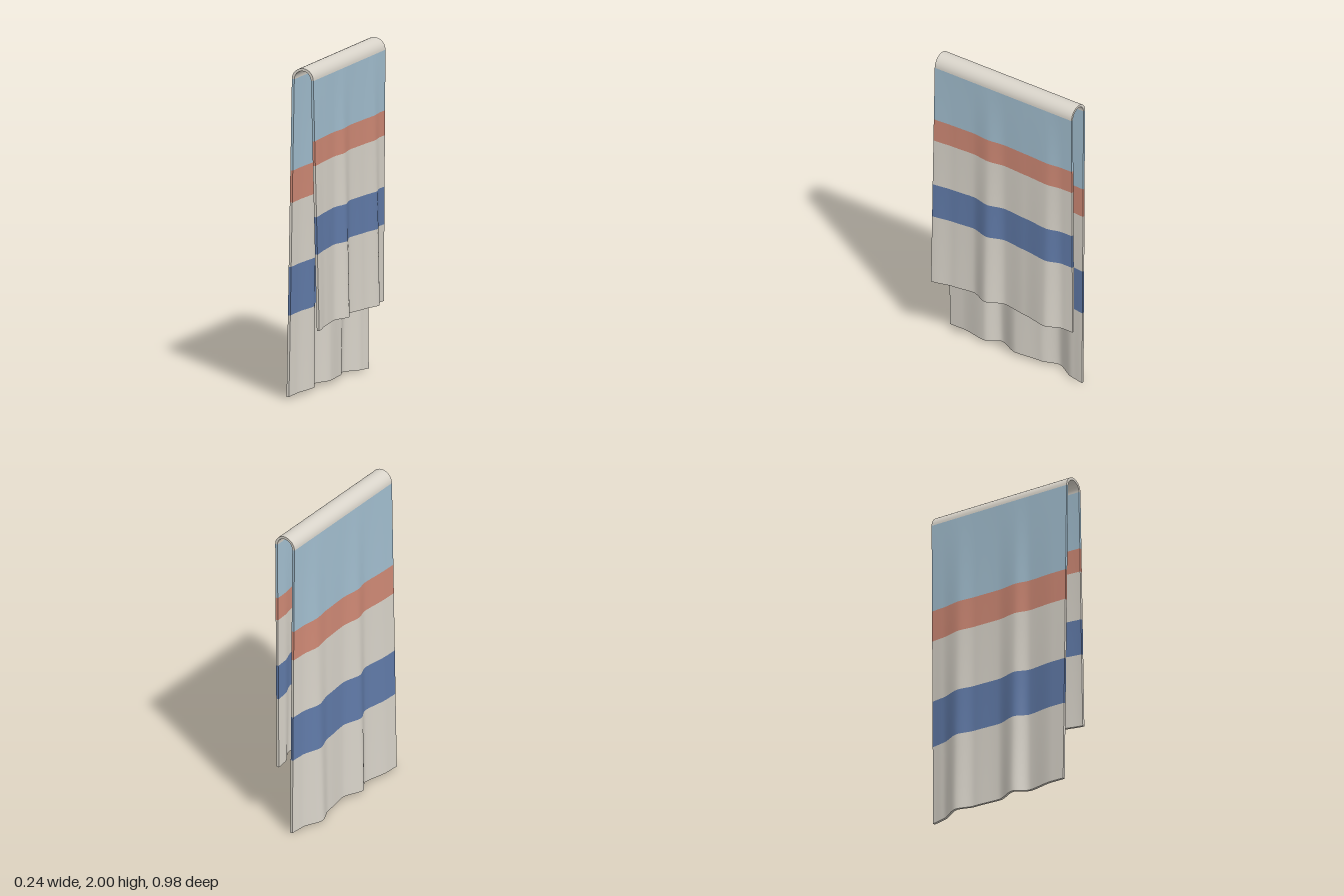
import * as THREE from 'three';
import { toCreasedNormals } from 'three/addons/utils/BufferGeometryUtils.js';

const HALF = 0.49;        // half width of the cloth along z
const THICK = 0.016;
const BAR = { x: 0.005, y: 1.93, r: 0.07 }; // fold at the top
const SEG = 72;

const mat = (name, color) => {
  const m = new THREE.MeshStandardMaterial({ color });
  m.name = name;
  return m;
};

// Outer x of each flap at its hem, as [z, x]
const flaps = {
  right: {
    side: 1, hem: 0.415,
    folds: [[-0.49, 0.064], [-0.42, 0.068], [-0.32, 0.116], [-0.16, 0.092], [-0.01, 0.072],
      [0.1, 0.12], [0.21, 0.076], [0.35, 0.09], [0.49, 0.114]],
  },
  left: {
    side: -1, hem: 0,
    folds: [[-0.49, -0.05], [-0.41, -0.06], [-0.28, -0.12], [-0.17, -0.082], [0, -0.064],
      [0.13, -0.115], [0.22, -0.066], [0.4, -0.098], [0.49, -0.1]],
  },
};

// Smooth interpolation through the fold points
function foldAt(folds, z) {
  let i = 0;
  while (i < folds.length - 2 && z > folds[i + 1][0]) i++;
  const [z0, x0] = folds[i], [z1, x1] = folds[i + 1];
  const u = (z - z0) / (z1 - z0);
  return x0 + (x1 - x0) * THREE.MathUtils.lerp(u, u * u * (3 - 2 * u), 0.75);
}

// Point on a flap: the folds grow from the bar down to the hem
function flapPoint(flap, y, z, inner) {
  const t = (BAR.y - y) / (BAR.y - flap.hem);
  const top = BAR.x + flap.side * BAR.r;
  const x = THREE.MathUtils.lerp(top, foldAt(flap.folds, z), t);
  const wave = t * (0.014 * Math.cos(3.2 * z) + 0.012 * (z + HALF));
  return [x - (inner ? flap.side * THICK : 0), y + wave, z];
}

// Point on the rounded fold, a = 0 on the right and PI on the left
function barPoint(a, z, inner) {
  const r = BAR.r - (inner ? THICK : 0);
  return [BAR.x + r * Math.cos(a), BAR.y + r * Math.sin(a), z];
}

// Closed cloth strip; rows run from the right hem over the bar to the left hem
function strip(pointAt, rows, capStart, capEnd) {
  const pos = [], index = [], n = SEG + 1, ring = 2 * n;
  for (let r = 0; r <= rows; r++) {
    for (let k = 0; k < ring; k++) {
      const inner = k >= n;
      const i = inner ? ring - 1 - k : k;
      pos.push(...pointAt(r / rows, -HALF + (2 * HALF * i) / SEG, inner));
    }
  }
  for (let r = 0; r < rows; r++) {
    for (let k = 0; k < ring; k++) {
      const a = r * ring + k, b = r * ring + (k + 1) % ring;
      index.push(a, b + ring, b, a, a + ring, b + ring);
    }
  }
  // Hem faces
  const cap = (base, flip) => {
    for (let i = 0; i < SEG; i++) {
      const o0 = base + i, o1 = o0 + 1, i0 = base + ring - 1 - i, i1 = i0 - 1;
      if (flip) index.push(o0, i0, o1, o1, i0, i1);
      else index.push(o0, o1, i0, o1, i1, i0);
    }
  };
  if (capStart) cap(0, false);
  if (capEnd) cap(rows * ring, true);
  const g = new THREE.BufferGeometry();
  g.setAttribute('position', new THREE.Float32BufferAttribute(pos, 3));
  g.setIndex(index);
  return toCreasedNormals(g, 0.8);
}

export function createModel() {
  const cream = mat('cream', 0xd9d4ca);
  const sky = mat('lightBlue', 0xa3bfd0);
  const coral = mat('coral', 0xd08a76);
  const navy = mat('blue', 0x617ba9);

  const cloth = new THREE.Group();
  cloth.name = 'drapedTowel';
  const add = (name, geometry, material) => {
    const mesh = new THREE.Mesh(geometry, material);
    mesh.name = name;
    cloth.add(mesh);
  };

  // Rounded fold over the top
  add('topFold', strip((u, z, inner) => barPoint(u * Math.PI, z, inner), 20), cream);

  // Coloured bands down each flap
  const bands = [['skyBand', sky], ['coralBand', coral], ['creamBand', cream], ['blueBand', navy], ['hemBand', cream]];
  const edges = {
    right: [BAR.y, 1.565, 1.415, 1.105, 0.878, 0.415],
    left: [BAR.y, 1.375, 1.18, 0.79, 0.495, 0],
  };
  for (const key of ['right', 'left']) {
    const flap = flaps[key], ys = edges[key], right = flap.side > 0;
    bands.forEach(([name, material], i) => {
      const [from, to] = right ? [ys[i + 1], ys[i]] : [ys[i], ys[i + 1]];
      const last = i === bands.length - 1;
      const point = (u, z, inner) => flapPoint(flap, THREE.MathUtils.lerp(from, to, u), z, inner);
      add(`${right ? 'short' : 'long'}Flap_${name}`, strip(point, 6, last && right, last && !right), material);
    });
  }
  return cloth;
}
